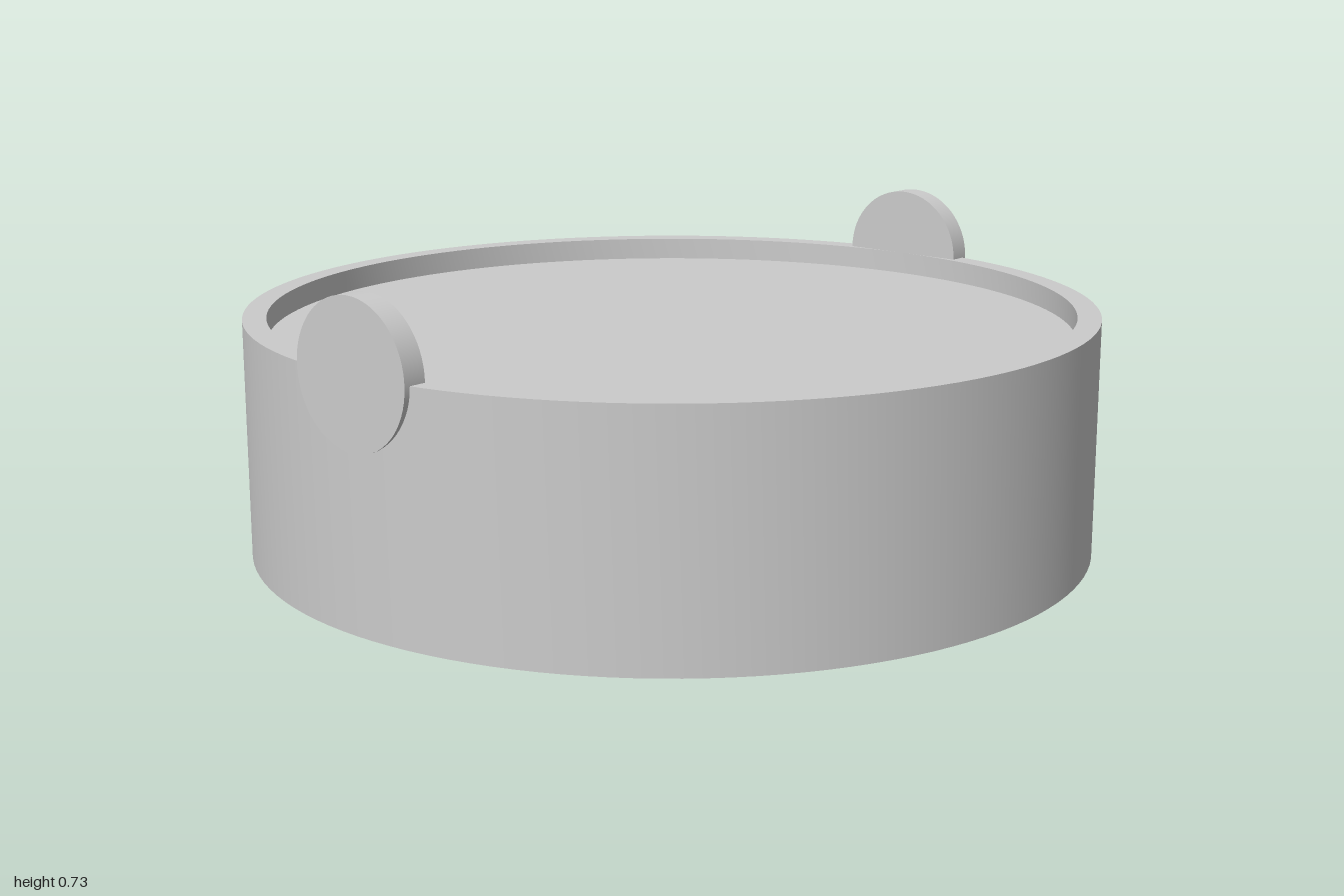
import * as THREE from 'three';
import { toCreasedNormals } from 'three/addons/utils/BufferGeometryUtils.js';

const SEG = 128;
const R = 1, R_IN = 0.945, H = 0.56, FLOOR = 0.505;
const TAB_R = 0.165;
const PIN_X = 0.78, PIN_R = 0.083, PIN_DEPTH = 0.2;
const WELL = 0.28, WELL_DEPTH = 0.284;
const SLOT_HALF = 0.148, SLOT_LEN = 0.226, SLOT_CY = 0.155, SLOT_Z = [-0.752, 0.81];

export function createModel() {
  const model = new THREE.Group();
  const solid = new THREE.MeshStandardMaterial({ color: 0xcccccc });
  const open = new THREE.MeshStandardMaterial({ color: 0xcccccc, side: THREE.DoubleSide });

  const add = (name, geometry, material, parent = model) => {
    const mesh = new THREE.Mesh(geometry, material);
    mesh.name = name;
    parent.add(mesh);
    return mesh;
  };
  const rectHole = (halfX, halfZ, cz = 0) => new THREE.Path([
    new THREE.Vector2(-halfX, cz - halfZ), new THREE.Vector2(-halfX, cz + halfZ),
    new THREE.Vector2(halfX, cz + halfZ), new THREE.Vector2(halfX, cz - halfZ),
  ]);

  // Outer wall, rim and shallow recessed floor
  const profile = [[R, 0], [R, H], [R_IN, H], [R_IN, FLOOR], [0, FLOOR]]
    .map(([x, y]) => new THREE.Vector2(x, y));
  add('trayBody', toCreasedNormals(new THREE.LatheGeometry(profile, SEG), 0.6), solid);

  // Underside with openings for the pockets
  const base = new THREE.Shape().absarc(0, 0, R, 0, Math.PI * 2);
  base.holes.push(rectHole(WELL, WELL));
  for (const z of SLOT_Z) base.holes.push(rectHole(SLOT_HALF, SLOT_LEN / 2, z));
  for (const s of [-1, 1]) base.holes.push(new THREE.Path().absarc(s * PIN_X, 0, PIN_R, 0, Math.PI * 2, true));
  add('underside', new THREE.ShapeGeometry(base, SEG / 2).rotateX(Math.PI / 2), solid);

  // Square centre well
  const well = new THREE.Group();
  well.name = 'centreWell';
  const wellR = WELL * Math.SQRT2;
  const wellWalls = new THREE.CylinderGeometry(wellR, wellR, WELL_DEPTH, 4, 1, true).rotateY(Math.PI / 4);
  add('wellWalls', toCreasedNormals(wellWalls, 0.6), open, well).position.y = WELL_DEPTH / 2;
  add('wellCeiling', new THREE.PlaneGeometry(2 * WELL, 2 * WELL).rotateX(Math.PI / 2), open, well)
    .position.y = WELL_DEPTH;
  model.add(well);

  // Round blind holes
  for (const s of [-1, 1]) {
    const pin = new THREE.Group();
    pin.name = s > 0 ? 'leftPinHole' : 'rightPinHole';
    add('pinWall', new THREE.CylinderGeometry(PIN_R, PIN_R, PIN_DEPTH, 48, 1, true), open, pin)
      .position.y = PIN_DEPTH / 2;
    add('pinCeiling', new THREE.CircleGeometry(PIN_R, 48).rotateX(Math.PI / 2), open, pin)
      .position.y = PIN_DEPTH;
    pin.position.x = s * PIN_X;
    model.add(pin);
  }

  // Sockets: sideways drums that open through the underside
  const slotR = Math.hypot(SLOT_HALF, SLOT_CY);
  const gap = Math.asin(SLOT_HALF / slotR);
  const drum = new THREE.CylinderGeometry(slotR, slotR, SLOT_LEN, 64, 1, true, gap, 2 * Math.PI - 2 * gap)
    .rotateX(Math.PI / 2);
  const end = new THREE.ShapeGeometry(
    new THREE.Shape().absarc(0, 0, slotR, gap - Math.PI / 2, 1.5 * Math.PI - gap), 64);
  for (const z of SLOT_Z) {
    const socket = new THREE.Group();
    socket.name = z > 0 ? 'frontSocket' : 'backSocket';
    add('socketWall', drum, open, socket);
    for (const s of [-1, 1]) add('socketEnd', end, open, socket).position.z = s * SLOT_LEN / 2;
    socket.position.set(0, SLOT_CY, z);
    model.add(socket);
  }

  // Disc tabs on the rim, front and back
  const tab = new THREE.CylinderGeometry(TAB_R, TAB_R, R - R_IN, 64).rotateX(Math.PI / 2);
  for (const s of [-1, 1]) {
    add(s > 0 ? 'frontTab' : 'backTab', tab, solid).position.set(0, H, s * (R + R_IN) / 2);
  }
  return model;
}
